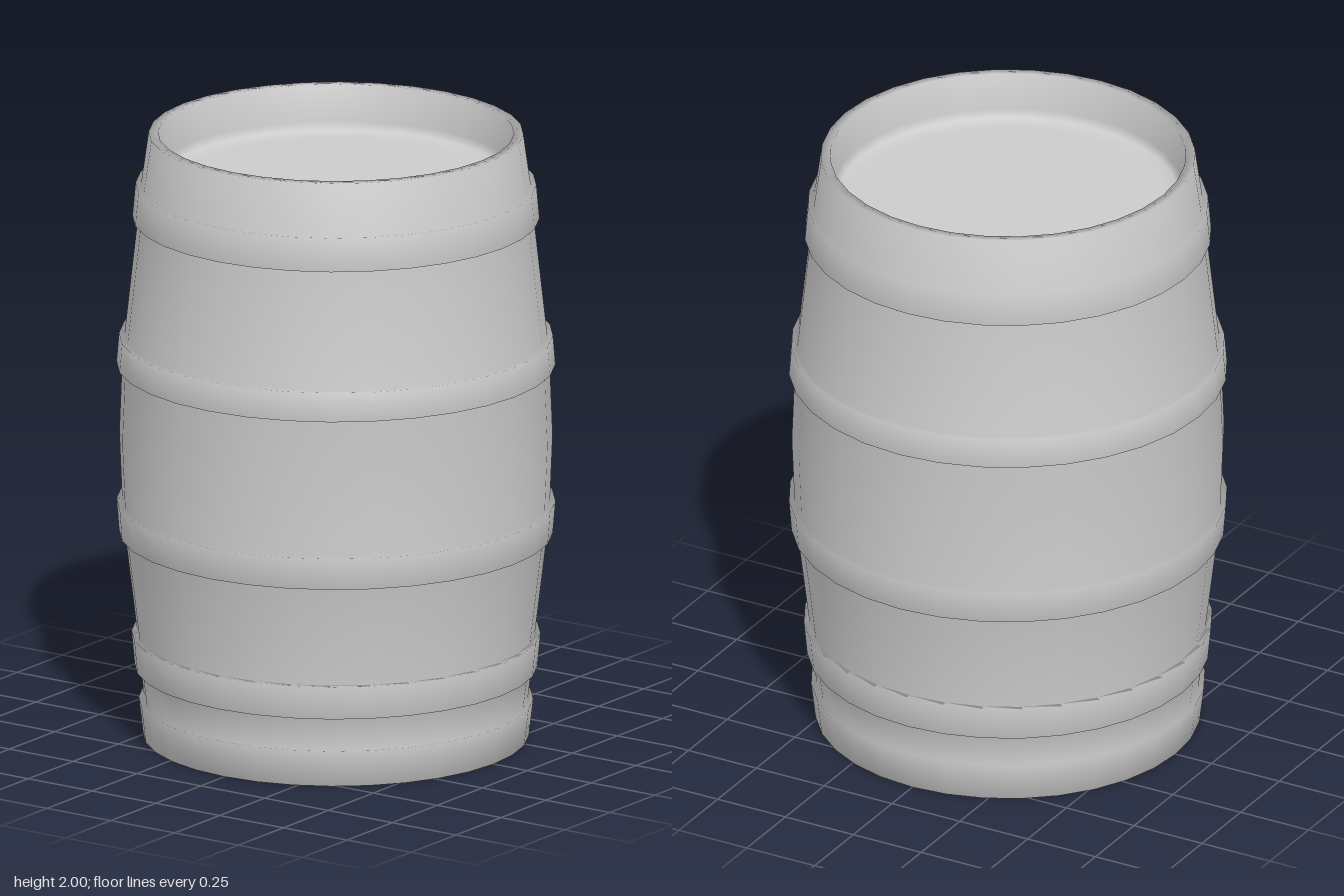
import * as THREE from 'three';

const SIDES = 32;

// One continuous smooth shell: bottom recess, hooped staves, rim, top recess.
export function createModel() {
  const group = new THREE.Group();
  group.name = 'barrel';
  const material = new THREE.MeshStandardMaterial({ color: 0xcccccc, side: THREE.DoubleSide });

  // each hoop: [bottom y, bottom radius, top y, top radius]
  const hoops = [
    [0.23, 0.645, 0.34, 0.655],
    [0.675, 0.695, 0.78, 0.703],
    [1.235, 0.703, 1.33, 0.695],
    [1.72, 0.652, 1.83, 0.642],
  ];
  const proud = 0.018; // how far a hoop stands out from the staves

  // underside: recessed floor and bottom rim
  const profile = [
    [0, 0.26], [0.5, 0.26], [0.565, 0.26], [0.575, 0], [0.618, 0],
    // foot hoop
    [0.632, 0.12], [0.614, 0.12],
  ];

  // staves with hoops
  hoops.forEach(([y0, r0, y1, r1], i) => {
    if (i === 2) profile.push([0.694, 1.0]); // widest point of the belly
    profile.push([r0 - proud, y0], [r0, y0], [r1, y1], [r1 - proud, y1]);
  });

  // top rim and shallow recessed lid
  profile.push([0.6, 2], [0.57, 2], [0.56, 1.88], [0.545, 1.855], [0.5, 1.845], [0, 1.845]);

  const points = profile.map(([r, y]) => new THREE.Vector2(r, y));
  const shell = new THREE.Mesh(new THREE.LatheGeometry(points, SIDES), material);
  shell.name = 'barrelShell';
  group.add(shell);
  return group;
}
